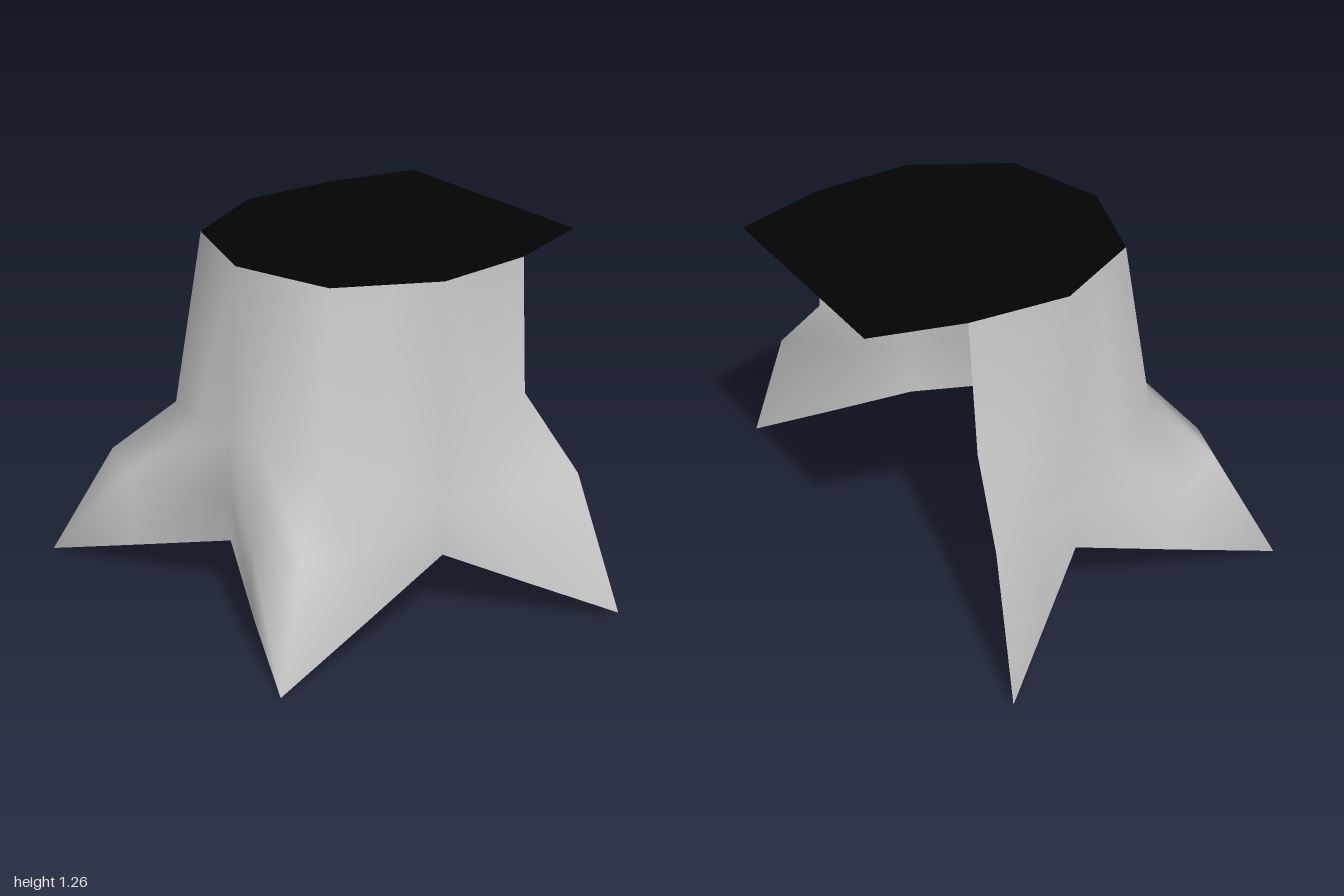
import * as THREE from 'three';

const shellGrey = new THREE.MeshStandardMaterial({ color: 0xc8c8c8, side: THREE.DoubleSide });
shellGrey.name = 'shellGrey';
const capBlack = new THREE.MeshStandardMaterial({ color: 0x030303, side: THREE.DoubleSide });
capBlack.name = 'capBlack';

// Left half of the shell, back edge to front centre; each column runs top, waist, knee, hem
const halfColumns = [
  [[0.545, 1.26, -0.43], [0.585, 0.76, -0.42], [0.81, 0.51, -0.48], [1, 0.015, -0.525]], // back foot
  [[0.555, 1.26, -0.25], [0.59, 0.68, -0.25], [0.7, 0.46, -0.26], [0.8, 0.13, -0.275]],
  [[0.565, 1.26, -0.05], [0.59, 0.6, -0.04], [0.6, 0.44, -0.03], [0.605, 0.245, -0.03]], // side notch
  [[0.47, 1.26, 0.125], [0.575, 0.57, 0.16], [0.655, 0.37, 0.4], [0.66, 0.122, 0.37]],
  [[0.375, 1.26, 0.3], [0.43, 0.6, 0.39], [0.58, 0.41, 0.58], [0.715, 0, 0.775]], // front foot
  [[0.19, 1.26, 0.36], [0.2, 0.62, 0.45], [0.38, 0.4, 0.645], [0.37, 0.105, 0.63]],
  [[0, 1.26, 0.42], [0, 0.63, 0.46], [0, 0.42, 0.46], [0, 0.215, 0.46]], // front notch
];

const mirrorColumn = (column) => column.map(([x, y, z]) => [-x, y, z]);
const columns = [...halfColumns, ...halfColumns.slice(0, -1).reverse().map(mirrorColumn)];

// Smooth open sheet through the columns
function sheet(cols) {
  const rows = cols[0].length;
  const index = [];
  for (let i = 0; i < cols.length - 1; i++) {
    for (let j = 0; j < rows - 1; j++) {
      const a = i * rows + j, b = a + rows, c = b + 1, d = a + 1;
      // Mirror the diagonals across the centre line
      if (i < (cols.length - 1) / 2) index.push(a, b, d, b, c, d);
      else index.push(a, b, c, a, c, d);
    }
  }
  const geometry = new THREE.BufferGeometry();
  geometry.setAttribute('position', new THREE.Float32BufferAttribute(cols.flat(2), 3));
  geometry.setIndex(index);
  geometry.computeVertexNormals();
  return geometry;
}

export function createModel() {
  const group = new THREE.Group();
  group.name = 'openStump';

  // Flared wall with four pointed feet, open at the back
  const wall = new THREE.Mesh(sheet(columns), shellGrey);
  wall.name = 'flaredWall';
  group.add(wall);

  // Flat lid following the rim and overhanging the open back
  const rim = columns.map(([[x, , z]]) => new THREE.Vector2(x, -z));
  rim.push(new THREE.Vector2(-0.46, 0.77), new THREE.Vector2(0.43, 0.78));
  const lid = new THREE.Mesh(new THREE.ShapeGeometry(new THREE.Shape(rim)), capBlack);
  lid.name = 'topLid';
  lid.rotation.x = -Math.PI / 2;
  lid.position.y = 1.26;
  group.add(lid);

  return group;
}
